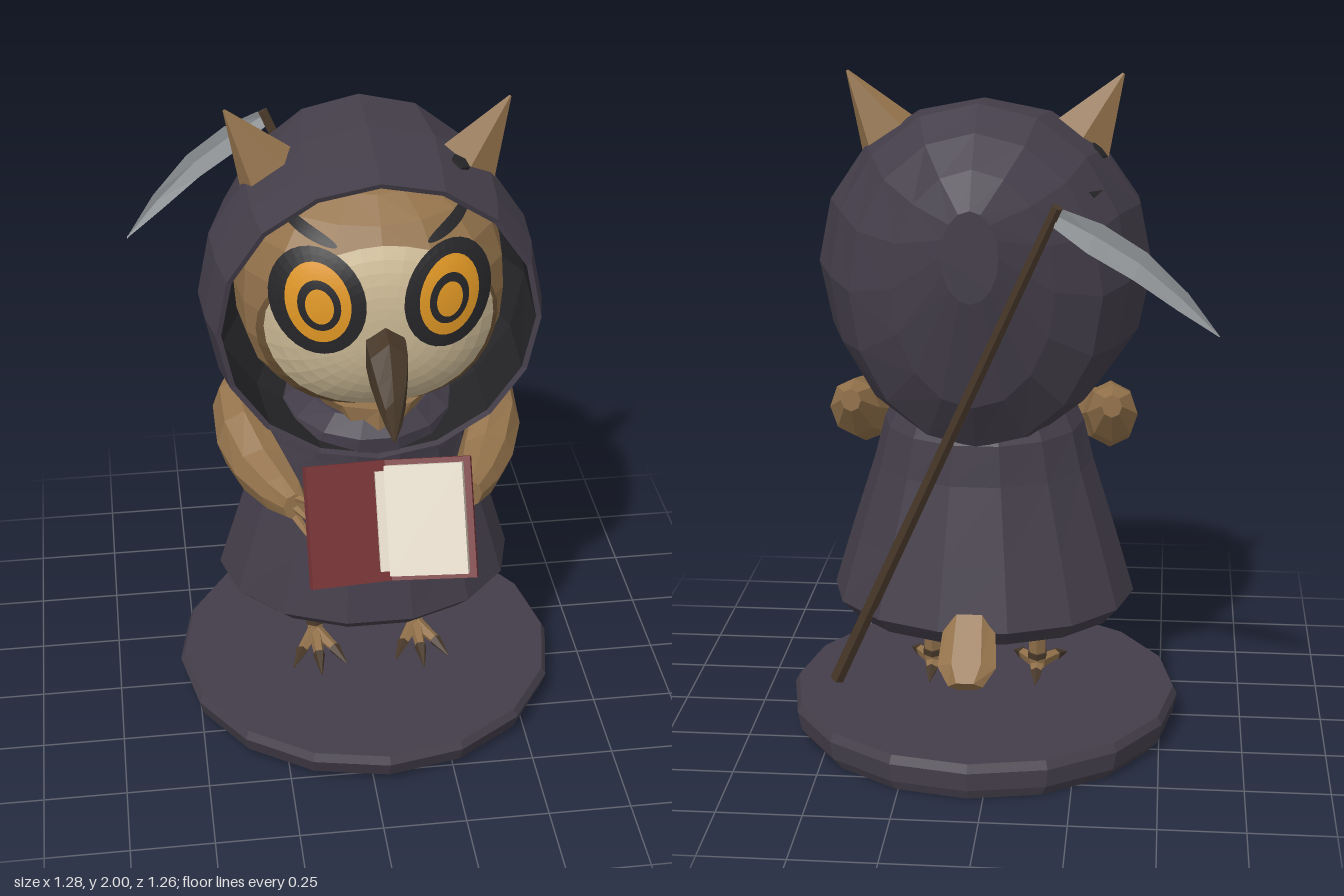
import * as THREE from 'three';

const mat = (name, color) => {
  const m = new THREE.MeshStandardMaterial({ color });
  m.name = name;
  return m;
};
const V = (x, y, z) => new THREE.Vector3(x, y, z);
const CX = 0.045; // x of the body's middle

// Circle-like cross-sections, facing +z or +y
const ring = (n, f) => Array.from({ length: n }, (_, i) => f(Math.cos((i / n) * Math.PI * 2), Math.sin((i / n) * Math.PI * 2)));
const ringZ = (n, x, y, z, rx, ry) => ring(n, (c, s) => V(x + c * rx, y + s * ry, z));
const ringY = (n, x, y, z, rx, rz) => ring(n, (c, s) => V(x + c * rx, y, z - s * rz));

// Faceted normals
function flat(geo) {
  const g = geo.index ? geo.toNonIndexed() : geo;
  g.computeVertexNormals();
  return g;
}

// Skin through a list of equal-length loops
function loft(rings, capStart = true, capEnd = true) {
  const pts = [], n = rings[0].length, last = rings.length - 1;
  for (let i = 0; i < last; i++) {
    for (let j = 0; j < n; j++) {
      const k = (j + 1) % n;
      const a = rings[i][j], b = rings[i][k], c = rings[i + 1][k], d = rings[i + 1][j];
      pts.push(a, b, c, a, c, d);
    }
  }
  for (let j = 1; j < n - 1; j++) {
    if (capStart) pts.push(rings[0][0], rings[0][j + 1], rings[0][j]);
    if (capEnd) pts.push(rings[last][0], rings[last][j], rings[last][j + 1]);
  }
  return flat(new THREE.BufferGeometry().setFromPoints(pts));
}

// Tapered rod between two points
function rod(a, b, ra, rb, sides = 6) {
  const g = new THREE.CylinderGeometry(rb, ra, a.distanceTo(b), sides);
  g.applyQuaternion(new THREE.Quaternion().setFromUnitVectors(V(0, 1, 0), b.clone().sub(a).normalize()));
  const m = a.clone().add(b).multiplyScalar(0.5);
  return flat(g.translate(m.x, m.y, m.z));
}

// Rounded-box head shape and thin patches that follow it
const HEAD = { y: 1.48, z: 0.01, rx: 0.39, ry: 0.365, rz: 0.355, e: 2.4 };
function headGeometry() {
  const g = new THREE.SphereGeometry(1, 16, 12), p = g.attributes.position, v = V(0, 0, 0), e = HEAD.e;
  for (let i = 0; i < p.count; i++) {
    v.fromBufferAttribute(p, i);
    v.divideScalar((Math.abs(v.x) ** e + Math.abs(v.y) ** e + Math.abs(v.z) ** e) ** (1 / e));
    p.setXYZ(i, CX + v.x * HEAD.rx, HEAD.y + v.y * HEAD.ry, HEAD.z + v.z * HEAD.rz);
  }
  return flat(g);
}
function facePatch(x, y, rx, ry, lift, tilt = 0) {
  const g = new THREE.RingGeometry(0.001, 1, 32, 8), p = g.attributes.position, e = HEAD.e;
  for (let i = 0; i < p.count; i++) {
    const a = p.getX(i) * rx, b = p.getY(i) * ry;
    const px = x + a * Math.cos(tilt) - b * Math.sin(tilt), py = y + a * Math.sin(tilt) + b * Math.cos(tilt);
    const r = 1 - Math.abs(px / HEAD.rx) ** e - Math.abs((py - HEAD.y) / HEAD.ry) ** e;
    p.setXYZ(i, CX + px, py, HEAD.z + HEAD.rz * Math.max(r, 0) ** (1 / e) + lift);
  }
  return flat(g);
}

export function createModel() {
  const root = new THREE.Group();
  root.name = 'hoodedOwl';
  const robe = mat('robe cloth', 0x443e4a), lining = mat('charcoal', 0x262629);
  const feather = mat('tan feather', 0x94734c), umber = mat('dark brown', 0x48392a);
  const brown = mat('mid brown', 0x705638), cream = mat('cream feather', 0xcbb995);
  const orange = mat('orange eye', 0xdd9524), cover = mat('red cover', 0x743235);
  const paper = mat('paper', 0xdcd3c2), steel = mat('steel', 0x9da1a4);
  const add = (name, geo, material, parent = root) => {
    const m = new THREE.Mesh(geo, material);
    m.name = name;
    parent.add(m);
    return m;
  };

  // Base slab with bevelled edges, undercut at the front
  add('base', loft([[0.002, 0.55, -0.06], [0.03, 0.585, -0.035], [0.085, 0.598, -0.025], [0.11, 0.585, -0.025]]
    .map(([y, r, z]) => ringY(16, CX, y, z, r, r))), robe);

  // Robe skirt: inside floor, hem, then up to the neck
  add('robe', loft([[0.45, 0.36, 0.3, -0.05], [0.39, 0.41, 0.34, -0.06], [0.44, 0.457, 0.385, -0.055],
    [0.63, 0.4, 0.345, -0.045], [0.85, 0.33, 0.3, -0.035], [0.97, 0.3, 0.295, -0.025], [1.07, 0.25, 0.275, 0.01], [1.12, 0.19, 0.24, 0.01]]
    .map(([y, rx, rz, z]) => ringY(14, CX, y, z, rx, rz))), robe);
  add('neckFeathers', loft([ringY(12, CX, 1.08, 0.03, 0.13, 0.235), ringY(12, CX, 1.16, 0.03, 0.2, 0.235)]), feather);

  // Hood shell from back to a thin rim, and its dark lining
  const rim = ringZ(16, CX, 1.44, 0.27, 0.445, 0.425);
  add('hood', loft([...[[-0.475, 1.56, 0.08, 0.13], [-0.4, 1.45, 0.23, 0.34], [-0.31, 1.42, 0.36, 0.455],
    [-0.2, 1.437, 0.43, 0.503], [0, 1.437, 0.493, 0.49], [0.15, 1.44, 0.485, 0.462], [0.275, 1.44, 0.46, 0.44]]
    .map(([z, y, rx, ry]) => ringZ(16, CX, y, z, rx, ry)), rim], true, false), robe);
  add('hoodLining', loft([rim, ringZ(16, CX, 1.437, 0, 0.465, 0.46), ringZ(16, CX, 1.437, -0.2, 0.38, 0.44)], false, true), lining);

  // Dark worn spots on the hood
  for (const [x, y, z, r] of [[-0.27, 1.725, -0.22, 0.05], [-0.29, 1.785, -0.05, 0.03], [0.295, 1.842, 0.085, 0.03]]) {
    const p = V(x, y, z), n = V(x - CX, y - 1.44, z).normalize();
    add('hoodSpot', rod(p.clone().addScaledVector(n, -0.03), p.clone().addScaledVector(n, 0.004), r, r, 5), lining);
  }

  // Head and face markings
  add('head', headGeometry(), feather);
  add('faceRim', facePatch(0, 1.43, 0.345, 0.28, 0.007), brown);
  add('faceDisc', facePatch(0, 1.455, 0.325, 0.262, 0.014), cream);
  for (const s of [-1, 1]) {
    const side = s > 0 ? 'left' : 'right';
    add(side + 'EyePatch', facePatch(s * 0.182, 1.565, 0.13, 0.15, 0.02, -s * 0.1), lining);
    add(side + 'Brow', facePatch(s * 0.2, 1.745, 0.08, 0.015, 0.02, s * 0.35), lining);
    add(side + 'Iris', facePatch(s * 0.182, 1.568, 0.088, 0.113, 0.024, -s * 0.1), orange);
    add(side + 'Pupil', facePatch(s * 0.18, 1.565, 0.058, 0.072, 0.028, -s * 0.1), lining);
    add(side + 'PupilCentre', facePatch(s * 0.18, 1.565, 0.038, 0.05, 0.032, -s * 0.1), orange);

    // Ear tuft
    const tuft = rod(V(0, 0, 0), V(0.17, 0.27, 0), 0.14, 0.004, 5);
    add(side + 'EarTuft', flat(tuft.scale(1, 1, 0.6).rotateY(s > 0 ? 0 : Math.PI).translate(CX + s * 0.23, 1.73, 0.005)), feather);

    // Wing arm reaching forward and inward, with clawed fingers
    add(side + 'Wing', loft([[0.385, 1.05, -0.15, 0.03, 0.035], [0.385, 1.005, -0.07, 0.075, 0.09], [0.375, 0.96, 0.07, 0.083, 0.105],
      [0.33, 0.925, 0.19, 0.085, 0.082], [0.285, 0.915, 0.3, 0.065, 0.065], [0.255, 0.915, 0.37, 0.035, 0.045]]
      .map(([x, y, z, rx, ry]) => ringZ(8, CX + s * x, y, z, rx, ry))), feather);
    for (const dy of [-0.05, 0, 0.05]) {
      add(side + 'Finger', rod(V(CX + s * 0.26, 0.91 + dy * 0.6, 0.35), V(CX + s * 0.215, 0.9 + dy, 0.43 - dy * 0.5), 0.015, 0.007, 5), feather);
    }

    // Leg, bands and toes
    const lx = CX + s * 0.163;
    add(side + 'Leg', rod(V(lx, 0.5, -0.065), V(lx, 0.16, -0.015), 0.036, 0.026), feather);
    add(side + 'LegBand', rod(V(lx, 0.385, -0.048), V(lx, 0.365, -0.045), 0.038, 0.036), umber);
    add(side + 'Ankle', rod(V(lx, 0.215, -0.023), V(lx, 0.195, -0.02), 0.032, 0.032), umber);
    for (const [dx, dz] of [[-0.06, 0.09], [0, 0.12], [0.06, 0.09], [0, -0.08]]) {
      const a = V(lx, 0.17, -0.01), b = V(lx + dx * 0.85, 0.16, dz * 0.85);
      add(side + 'Toe', rod(a, b, 0.024, 0.016, 5), feather);
      add(side + 'Claw', rod(b, V(lx + dx * 1.4, 0.142, dz * 1.55), 0.02, 0.002, 5), umber);
    }
  }

  // Hooked beak, deep at the root
  add('beak', loft([[1.445, 0.33, 0.05, 0.05], [1.42, 0.39, 0.064, 0.075], [1.402, 0.456, 0.06, 0.085],
    [1.355, 0.515, 0.044, 0.068], [1.312, 0.552, 0.027, 0.052], [1.25, 0.572, 0.004, 0.006]].map(([y, z, rx, ry]) => ringZ(6, CX, y, z, rx, ry)
    .map((p) => p.set(CX + (p.y - y) / ry * rx, y + (p.x - CX) / rx * -ry, p.z)))), umber);

  // Tail feathers under the hem
  const tail = add('tail', loft([[-0.13, 0.05], [-0.07, 0.085], [0.13, 0.07]].map(([z, rx]) => ringZ(6, 0, 0, z, rx, 0.03))), feather);
  tail.position.set(CX + 0.01, 0.415, -0.455);
  tail.rotation.x = -0.8;

  // Open book: two covers hinged at the middle
  const book = new THREE.Group();
  book.name = 'book';
  book.position.set(CX, 0.91, 0.46);
  book.rotation.x = -0.52;
  root.add(book);
  for (const s of [-1, 1]) {
    const half = new THREE.Group();
    half.name = s > 0 ? 'leftBookHalf' : 'rightBookHalf';
    half.rotation.y = -s * 0.32;
    book.add(half);
    add('cover', flat(new THREE.BoxGeometry(0.25, 0.345, 0.022).translate(s * 0.125, 0, 0)), cover, half);
    add('pages', flat(new THREE.BoxGeometry(0.225, 0.315, 0.032).translate(s * 0.118, 0, s * 0.026)), paper, half);
  }
  add('spineStrip', flat(new THREE.BoxGeometry(0.03, 0.285, 0.034).translate(-0.018, 0, 0.022)), paper, book);

  // Scythe resting behind the back
  add('scytheHandle', rod(V(0.47, 0.21, -0.27), V(-0.2, 1.73, -0.595), 0.023, 0.016), umber);
  add('scytheBlade', loft([[-0.215, 1.725, -0.6, 0.05], [-0.32, 1.685, -0.59, 0.08], [-0.44, 1.605, -0.57, 0.075],
    [-0.55, 1.49, -0.54, 0.05], [-0.638, 1.365, -0.51, 0.002]].map(([x, y, z, w]) => [
    V(x, y, z), V(x + w * 0.3, y - w * 0.4, z - 0.008), V(x + w * 0.5, y - w, z), V(x + w * 0.3, y - w * 0.4, z + 0.008),
  ].reverse())), steel);

  return root;
}
